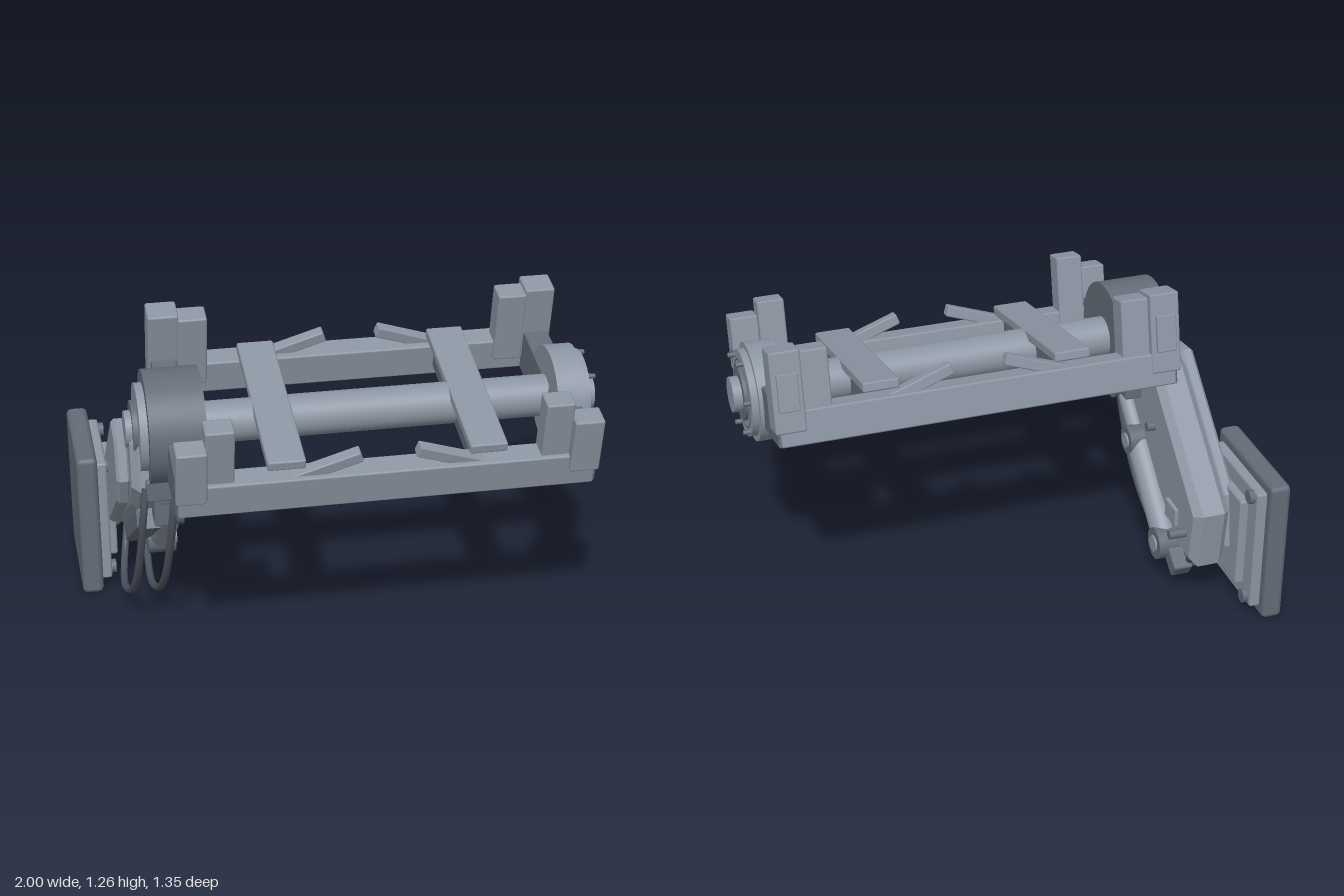
import * as THREE from 'three';
import { RoundedBoxGeometry } from 'three/addons/geometries/RoundedBoxGeometry.js';

const light = new THREE.MeshStandardMaterial({ color: 0x8c96a3 });
light.name = 'light steel';
const dark = new THREE.MeshStandardMaterial({ color: 0x636c78 });
dark.name = 'dark steel';
const rubber = new THREE.MeshStandardMaterial({ color: 0x4d545f });
rubber.name = 'hose rubber';

const PIVOT = { y: 0.91, z: 0.2 };
const TILT = THREE.MathUtils.degToRad(12);
const MID = 0.11; // x of the carriage's mirror plane

function add(parent, name, geometry, material) {
  const mesh = new THREE.Mesh(geometry, material);
  mesh.name = name;
  parent.add(mesh);
  return mesh;
}

// chamfered box given by its limits
function box(parent, name, mat, x0, x1, y0, y1, z0, z1, r = 0.008) {
  const geo = r > 0
    ? new RoundedBoxGeometry(x1 - x0, y1 - y0, z1 - z0, 1, r)
    : new THREE.BoxGeometry(x1 - x0, y1 - y0, z1 - z0);
  const mesh = add(parent, name, geo, mat);
  mesh.position.set((x0 + x1) / 2, (y0 + y1) / 2, (z0 + z1) / 2);
  return mesh;
}

// cylinder lying along x
function disc(parent, name, mat, x0, x1, r, y, z, seg = 40) {
  const geo = new THREE.CylinderGeometry(r, r, x1 - x0, seg).rotateZ(Math.PI / 2);
  const mesh = add(parent, name, geo, mat);
  mesh.position.set((x0 + x1) / 2, y, z);
  return mesh;
}

// cylinder between two points
function rod(parent, name, mat, a, b, r) {
  const dir = b.clone().sub(a);
  const mesh = add(parent, name, new THREE.CylinderGeometry(r, r, dir.length(), 28), mat);
  mesh.position.copy(a).add(b).multiplyScalar(0.5);
  mesh.quaternion.setFromUnitVectors(new THREE.Vector3(0, 1, 0), dir.normalize());
  return mesh;
}

// side outline of [z, y] points, extruded from x0 to x1 with chamfered faces
function slab(parent, name, mat, outline, x0, x1, bevel) {
  const shape = new THREE.Shape(outline.map(([z, y]) => new THREE.Vector2(-z, y)));
  const geo = new THREE.ExtrudeGeometry(shape, {
    depth: x1 - x0 - 2 * bevel, bevelEnabled: bevel > 0, bevelSegments: 1,
    bevelThickness: bevel, bevelSize: bevel, bevelOffset: -bevel,
  });
  geo.translate(0, 0, x0 + bevel).rotateY(Math.PI / 2);
  return add(parent, name, geo, mat);
}

function buildCarriage() {
  const g = new THREE.Group();
  g.name = 'carriage';
  g.position.set(0, PIVOT.y, PIVOT.z);
  g.rotation.x = TILT;

  // long rails
  for (const s of [-1, 1]) {
    const z = s * 0.38;
    box(g, s > 0 ? 'frontRail' : 'backRail', light, -0.68, 0.9, -0.105, 0.032, z - 0.05, z + 0.05);
  }

  // parts repeated at both ends; m mirrors x about the carriage middle
  for (const m of [-1, 1]) {
    const span = (a, b) => (m > 0 ? [MID + a, MID + b] : [MID - b, MID - a]);
    box(g, 'endBeam', dark, ...span(0.7, 0.8), -0.107, 0.07, -0.42, 0.42);
    box(g, 'crossPlate', light, ...span(0.31, 0.455), 0.045, 0.085, -0.385, 0.385);
    box(g, 'crossRib', dark, ...span(0.335, 0.43), -0.06, 0.046, -0.34, 0.34, 0);

    // corner clamps
    box(g, 'backOuterClamp', light, ...span(0.69, 0.81), -0.05, 0.27, -0.436, -0.325);
    box(g, 'backInnerClamp', light, ...span(0.58, 0.695), -0.05, 0.255, -0.41, -0.315);
    box(g, 'backClampPad', light, ...span(0.71, 0.79), 0.038, 0.186, -0.45, -0.43, 0.004);
    box(g, 'frontOuterClamp', light, ...span(0.685, 0.8), -0.03, 0.2, 0.355, 0.45);
    box(g, 'frontInnerClamp', light, ...span(0.58, 0.69), -0.03, 0.262, 0.322, 0.412);

    // raised fingers on the rails
    for (const s of [-1, 1]) {
      const finger = add(g, 'finger', new RoundedBoxGeometry(0.33, 0.045, 0.05, 1, 0.006), light);
      finger.position.set(MID + m * 0.262, 0.042, s * 0.385);
      finger.rotation.z = -m * 0.33;
    }
  }
  return g;
}

function buildSpindle() {
  const g = new THREE.Group();
  g.name = 'spindle';
  const { y, z } = PIVOT;
  disc(g, 'centralTube', light, -0.56, 0.83, 0.082, y, z);
  disc(g, 'largeHub', dark, -0.755, -0.54, 0.222, y, z, 48);
  disc(g, 'smallHub', light, 0.815, 0.925, 0.195, y, z, 48);
  // stepped rings on both outer faces
  disc(g, 'hubStep', light, 0.92, 0.952, 0.172, y, z);
  disc(g, 'hubRing', dark, 0.95, 0.965, 0.107, y, z);
  disc(g, 'hubCap', light, 0.96, 1.0, 0.07, y, z);
  disc(g, 'hubStep', light, -0.785, -0.75, 0.172, y, z);
  disc(g, 'hubRing', dark, -0.805, -0.78, 0.107, y, z);
  disc(g, 'hubCap', light, -0.83, -0.8, 0.07, y, z);
  // ring groove
  const groove = add(g, 'hubGroove', new THREE.TorusGeometry(0.135, 0.004, 6, 48).rotateY(Math.PI / 2), dark);
  groove.position.set(0.951, y, z);
  for (let i = 0; i < 6; i++) {
    const a = 0.29 + (i * Math.PI) / 3;
    disc(g, 'hubBolt', dark, 0.945, 0.98, 0.01, y + 0.157 * Math.cos(a), z - 0.157 * Math.sin(a), 10);
  }
  return g;
}

function buildArm() {
  const g = new THREE.Group();
  g.name = 'arm';
  // layered housing
  slab(g, 'armHousing', light, [[0.33, 0.7], [0.3, 0.9], [0.17, 0.95], [-0.04, 0.85], [-0.52, 0.44],
    [-0.49, 0.19], [-0.33, 0.2], [0.2, 0.56]], -0.82, -0.67, 0.03);
  slab(g, 'armOuterPlate', light, [[0.23, 0.7], [0.18, 0.86], [0.04, 0.88], [-0.44, 0.47],
    [-0.475, 0.25], [-0.36, 0.2], [0.17, 0.58]], -0.87, -0.815, 0.012);
  slab(g, 'armLowerFlange', dark, [[0.25, 0.5], [0.2, 0.57], [-0.4, 0.19], [-0.37, 0.11]], -0.8, -0.7, 0.01);
  box(g, 'hatch', light, -0.68, -0.655, 0.297, 0.375, -0.345, -0.24, 0.004);
  disc(g, 'armBolt', dark, -0.68, -0.635, 0.019, 0.612, -0.065, 16);
  disc(g, 'armBolt', dark, -0.68, -0.6, 0.019, 0.316, -0.418, 16);
  // bracket beneath the large hub
  box(g, 'hubBracket', dark, -0.77, -0.6, 0.662, 0.75, 0.08, 0.345);
  box(g, 'strutBracket', dark, -0.74, -0.66, 0.54, 0.68, 0.22, 0.32);

  // telescopic strut
  const X = -0.66;
  const top = new THREE.Vector3(X, 0.65, 0.26);
  const collar = new THREE.Vector3(X, 0.48, 0.07);
  const low = new THREE.Vector3(X, 0.18, -0.265);
  rod(g, 'strutRod', light, top, collar, 0.036);
  rod(g, 'strutBarrel', light, collar, low, 0.055);
  for (const [p, r] of [[top, 0.062], [collar, 0.06], [low, 0.066]]) {
    disc(g, 'strutJoint', dark, X - 0.06, X + 0.055, r, p.y, p.z, 28);
    disc(g, 'strutPin', light, X + 0.05, X + 0.062, r * 0.52, p.y, p.z, 24);
  }
  const foot = box(g, 'strutFoot', dark, -0.72, -0.64, 0.11, 0.18, -0.4, -0.26);
  foot.rotation.x = -0.6;

  // hanging hoses
  const path = [[0.325, 0.72], [0.335, 0.62], [0.29, 0.44], [0.19, 0.25], [0.05, 0.12],
    [-0.1, 0.062], [-0.24, 0.062], [-0.34, 0.1], [-0.4, 0.18]];
  for (const [xTop, xLow, xEnd] of [[-0.77, -0.835, -0.79], [-0.655, -0.725, -0.71]]) {
    const pts = path.map(([z, y], i) => {
      const t = i / (path.length - 1);
      const x = t < 0.65 ? THREE.MathUtils.lerp(xTop, xLow, t / 0.65)
        : THREE.MathUtils.lerp(xLow, xEnd, (t - 0.65) / 0.35);
      return new THREE.Vector3(x, y, z);
    });
    add(g, 'hose', new THREE.TubeGeometry(new THREE.CatmullRomCurve3(pts), 56, 0.015, 10), rubber);
  }
  return g;
}

function buildWallMount() {
  const g = new THREE.Group();
  g.name = 'wallMount';
  box(g, 'mountPlate', dark, -1, -0.915, 0, 0.612, -0.665, -0.153, 0.02);
  box(g, 'mountStep', light, -0.925, -0.875, 0.042, 0.57, -0.625, -0.195, 0.01);
  box(g, 'mountPad', light, -0.885, -0.842, 0.11, 0.5, -0.548, -0.27, 0.01);
  for (const y of [0.075, 0.54]) {
    for (const z of [-0.58, -0.24]) disc(g, 'mountBolt', dark, -0.88, -0.855, 0.028, y, z, 20);
  }
  return g;
}

export function createModel() {
  const model = new THREE.Group();
  model.name = 'armMountedCarriage';
  model.add(buildCarriage(), buildSpindle(), buildArm(), buildWallMount());
  return model;
}
